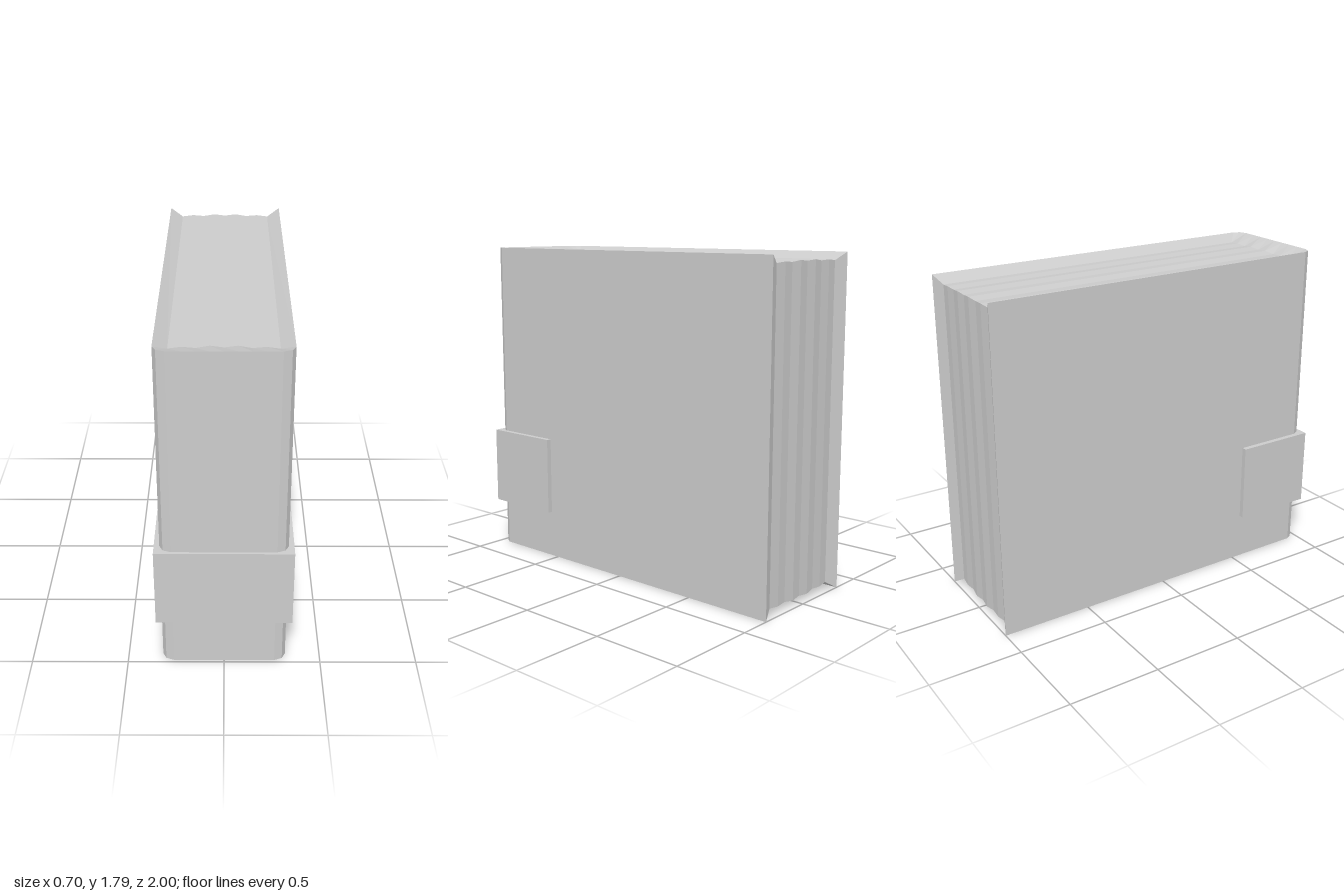
import * as THREE from 'three';

const HEIGHT = 1.79;
const grey = () => new THREE.MeshStandardMaterial({ color: 0xcccccc, flatShading: true, side: THREE.DoubleSide });

// Joins equally long rows of points into faceted strips, skipping collapsed triangles.
function loft(rows, flip) {
  const pos = [];
  const tri = (a, b, c) => {
    const area = new THREE.Triangle(a, b, c).getArea();
    if (area < 1e-7) return;
    for (const p of flip ? [a, c, b] : [a, b, c]) pos.push(p.x, p.y, p.z);
  };
  for (let i = 0; i < rows.length - 1; i++) {
    for (let j = 0; j < rows[i].length - 1; j++) {
      const a = rows[i][j], b = rows[i + 1][j], c = rows[i + 1][j + 1], d = rows[i][j + 1];
      tri(a, b, c);
      tri(a, c, d);
    }
  }
  const geo = new THREE.BufferGeometry();
  geo.setAttribute('position', new THREE.Float32BufferAttribute(pos, 3));
  geo.computeVertexNormals();
  return geo;
}

const v = (x, y, z) => new THREE.Vector3(x, y, z);

export function createModel() {
  const group = new THREE.Group();
  const add = (name, geo) => {
    const mesh = new THREE.Mesh(geo, grey());
    mesh.name = name;
    group.add(mesh);
  };

  // Cover: two boards and a spine with chamfered corners, as one strip
  const half = [[0.325, -1], [0.32, 0.935], [0.302, 0.97], [0.262, 0.985]];
  const outline = [...half.map(([x, z]) => [-x, z]), ...half.slice().reverse()];
  add('cover', loft(outline.map(([x, z]) => [v(x, 0, z), v(x, HEIGHT, z)]), false));

  // Page block: recessed behind the cover rim, rippled across its thickness.
  // Each row runs along the bottom, up the fore edge and back along the top.
  const pageRow = (spineX, spineZ, x, dip, frontZ, backZ) => [
    v(spineX, 0, spineZ), v(x, dip, frontZ), v(x, dip, backZ),
    v(x, HEIGHT - dip, backZ), v(x, HEIGHT - dip, frontZ), v(spineX, HEIGHT, spineZ),
  ];
  const ripple = [0.03, 0.024, 0.028, 0.02, 0.026, 0.02, 0.028, 0.024, 0.03];
  const rows = ripple.map((r, i) => {
    const x = -0.255 + (0.51 * i) / (ripple.length - 1);
    const end = i === 0 || i === ripple.length - 1;
    return pageRow(end ? Math.sign(x) * 0.262 : x, 0.985, x, r + 0.012, 0.84 + r, -1 + r);
  });
  for (const s of [-1, 1]) {
    const corner = pageRow(s * 0.302, 0.97, s * 0.255, 0.042, 0.87, -0.97);
    const edge = pageRow(s * 0.32, 0.935, s * 0.32, 0, 0.935, -1);
    for (const j of [2, 3]) edge[j].x = s * 0.325;
    if (s < 0) rows.unshift(edge, corner);
    else rows.push(corner, edge);
  }
  add('pages', loft(rows, true));

  // Clasp: U-shaped band hugging the spine
  const shape = new THREE.Shape();
  shape.moveTo(-0.348, -0.545);
  shape.lineTo(-0.348, -1);
  shape.lineTo(0.348, -1);
  shape.lineTo(0.348, -0.545);
  shape.lineTo(0.321, -0.545);
  for (const [x, z] of outline.slice(1, -1).reverse()) shape.lineTo(x, -z);
  shape.lineTo(-0.321, -0.545);
  shape.closePath();
  const clasp = new THREE.ExtrudeGeometry(shape, { depth: 0.435, bevelEnabled: false });
  clasp.rotateX(-Math.PI / 2).translate(0, 0.265, 0);
  add('spineClasp', clasp);

  return group;
}
